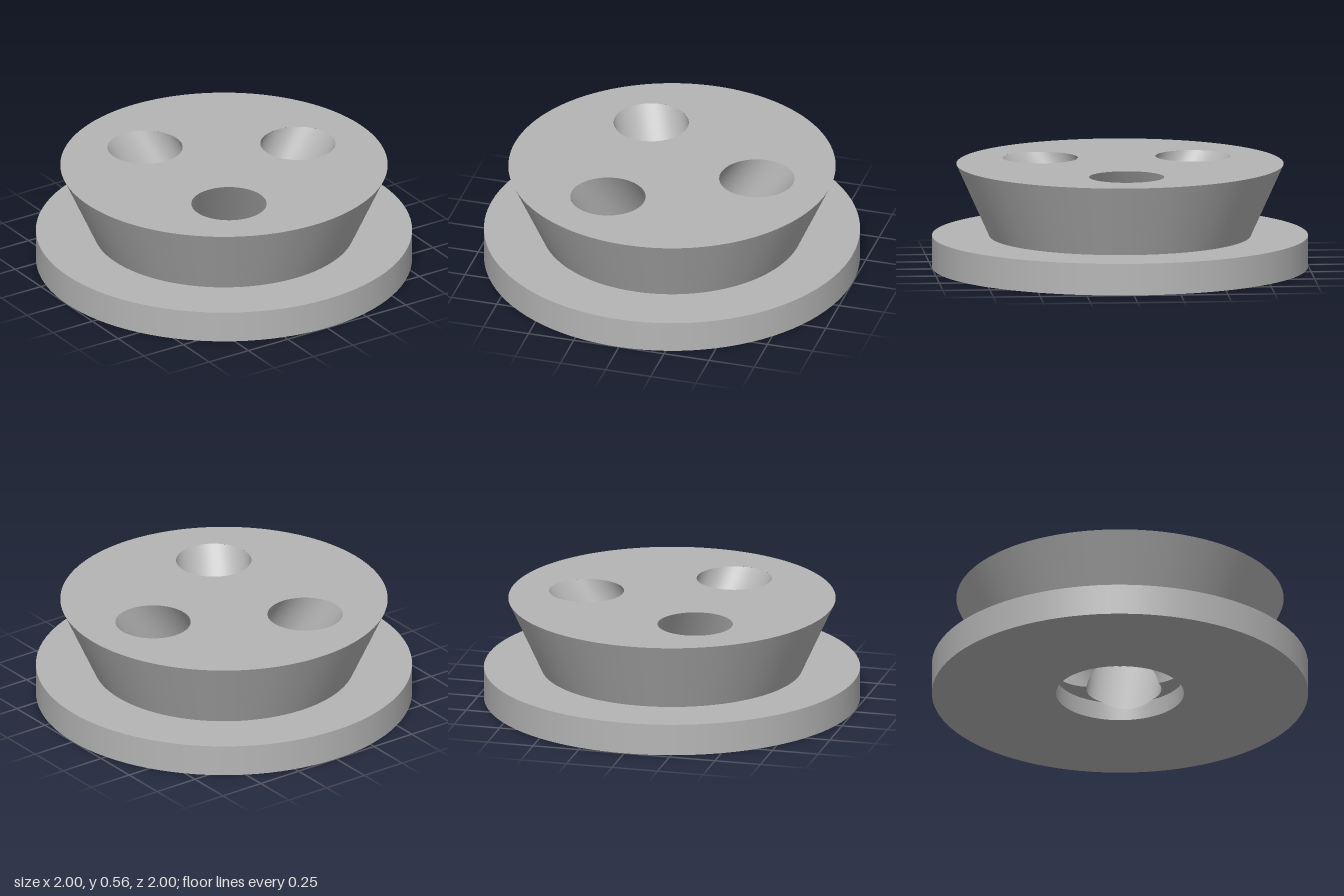
import * as THREE from 'three';

const H = 0.555, LEDGE = 0.17;             // overall height, base plate height
const BORE_R = 0.34, BORE_H = 0.1;         // central bore in the underside
const HOLE_R = 0.2, HOLE_D = 0.47;         // slanted holes: radius, distance at top
const SLOPE = 0.673;                       // inward drift per unit of depth
const SEG = 96;

const grey = new THREE.MeshStandardMaterial({ color: 0xb5b5b5 });
grey.name = 'grey';

// Height at which a hole's centre lies at distance c from the axis
const heightAt = (c) => H - (HOLE_D - c) / SLOPE;
const centreAt = (y) => HOLE_D - (H - y) * SLOPE;

// Smooth strip between two edge curves, each a function of angle
function strip(from, to, n, lower, upper) {
  const pos = [], index = [];
  for (let i = 0; i <= n; i++) {
    const t = from + (to - from) * i / n;
    pos.push(...lower(t), ...upper(t));
    if (i < n) {
      const k = i * 2;
      index.push(k, k + 2, k + 1, k + 1, k + 2, k + 3);
    }
  }
  const g = new THREE.BufferGeometry();
  g.setAttribute('position', new THREE.Float32BufferAttribute(pos, 3));
  g.setIndex(index);
  g.computeVertexNormals();
  return g;
}

// Wall of one slanted hole, ending at its neighbours, the bore ceiling or the bore wall
function holeWall() {
  const point = (t, y) => [centreAt(y) + HOLE_R * Math.cos(t), y, HOLE_R * Math.sin(t)];
  const end = (t) => {
    const x = HOLE_R * Math.cos(t), z = HOLE_R * Math.sin(t);
    const neighbour = heightAt(Math.abs(z) / Math.sqrt(3) - x);
    const bore = heightAt(Math.sqrt(BORE_R ** 2 - z * z) - x);
    return Math.max(neighbour, Math.min(BORE_H, bore));
  };
  return strip(-Math.PI, Math.PI, SEG, (t) => point(t, end(t)), (t) => point(t, H));
}

// A third of the bore wall, notched where the hole cuts into it
function boreWall() {
  const point = (a, y) => [BORE_R * Math.cos(a), y, BORE_R * Math.sin(a)];
  const top = (a) => {
    const x = BORE_R * Math.cos(a), z = BORE_R * Math.sin(a);
    if (Math.abs(z) >= HOLE_R) return BORE_H;
    return Math.min(BORE_H, heightAt(x - Math.sqrt(HOLE_R ** 2 - z * z)));
  };
  return strip(-Math.PI / 3, Math.PI / 3, SEG, (a) => point(a, 0), (a) => point(a, top(a)));
}

// A third of the bore ceiling, left over around the hole
function boreCeiling() {
  const c = centreAt(BORE_H);
  const point = (a, r) => [r * Math.cos(a), BORE_H, r * Math.sin(a)];
  const inner = (a) => Math.min(BORE_R,
    c * Math.cos(a) + Math.sqrt(HOLE_R ** 2 - (c * Math.sin(a)) ** 2));
  return strip(-Math.PI / 3, Math.PI / 3, SEG, (a) => point(a, BORE_R), (a) => point(a, inner(a)));
}

export function createModel() {
  const model = new THREE.Group();
  model.name = 'drilledPlug';
  const add = (name, geometry, y = 0, turn = 0) => {
    const mesh = new THREE.Mesh(geometry, grey);
    mesh.name = name;
    mesh.position.y = y;
    mesh.rotation.y = turn;
    model.add(mesh);
  };

  // Base plate
  add('baseRim', new THREE.CylinderGeometry(1, 1, LEDGE, SEG, 1, true), LEDGE / 2);
  add('baseLedge', new THREE.RingGeometry(0.69, 1, SEG).rotateX(-Math.PI / 2), LEDGE);
  add('baseUnderside', new THREE.RingGeometry(BORE_R, 1, SEG).rotateX(Math.PI / 2));

  // Flared upper body
  add('flaredBody', new THREE.CylinderGeometry(0.87, 0.695, H - LEDGE, SEG, 1, true), (H + LEDGE) / 2);

  // Top face with three round openings
  const top = new THREE.Shape().absarc(0, 0, 0.87, 0, Math.PI * 2);
  for (let i = 0; i < 3; i++) {
    const a = i * Math.PI * 2 / 3;
    top.holes.push(new THREE.Path().absarc(
      HOLE_D * Math.cos(a), HOLE_D * Math.sin(a), HOLE_R, 0, Math.PI * 2, true));
  }
  add('topFace', new THREE.ShapeGeometry(top, SEG).rotateX(-Math.PI / 2), H);

  // Slanted holes meeting in the central bore
  for (let i = 0; i < 3; i++) {
    const turn = i * Math.PI * 2 / 3;
    add('slantedHole', holeWall(), 0, turn);
    add('boreWall', boreWall(), 0, turn);
    add('boreCeiling', boreCeiling(), 0, turn);
  }
  return model;
}
